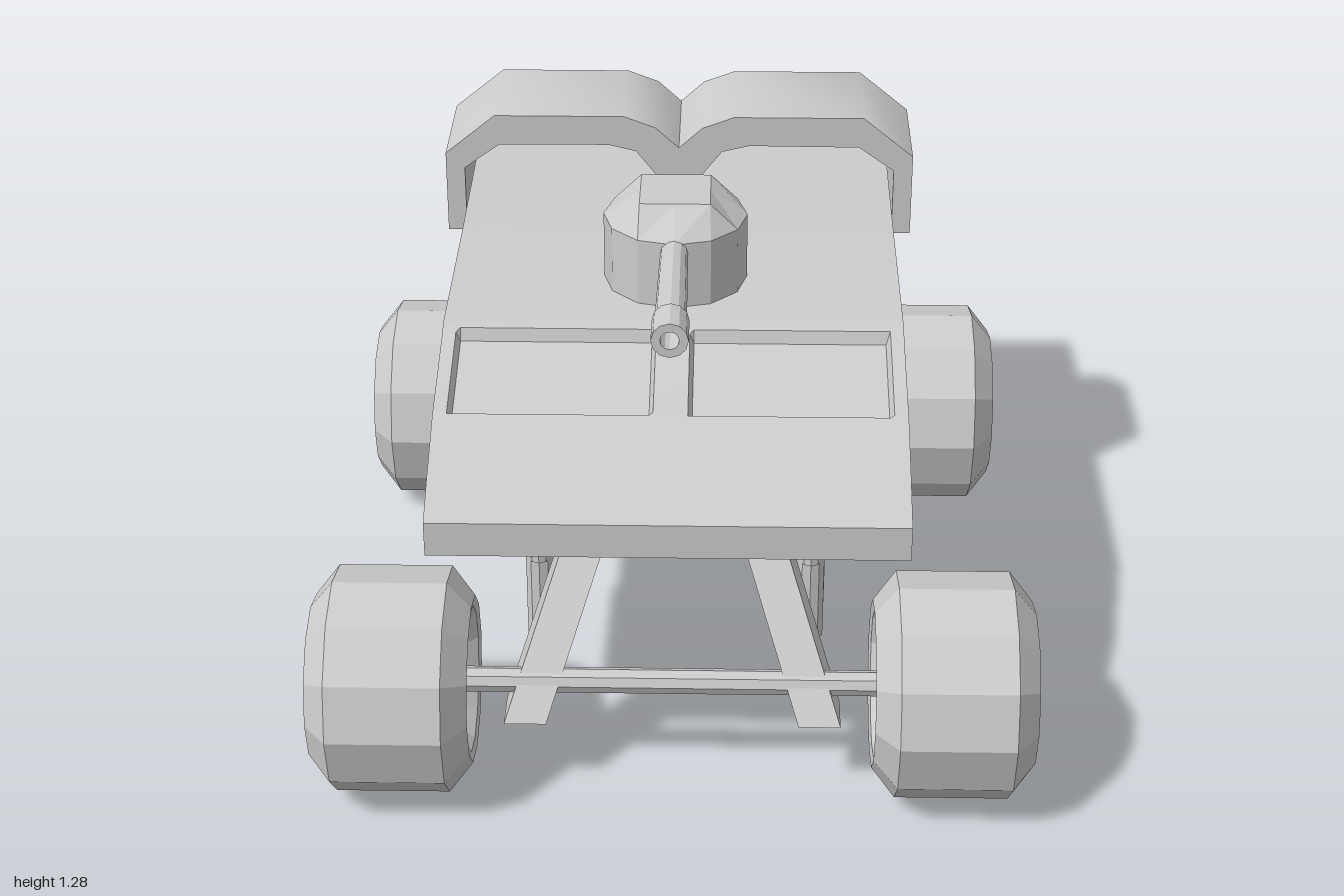
import * as THREE from 'three';
import { toCreasedNormals } from 'three/addons/utils/BufferGeometryUtils.js';

const smooth = new THREE.MeshStandardMaterial({ color: 0xcccccc, side: THREE.DoubleSide });
const flat = new THREE.MeshStandardMaterial({ color: 0xcccccc, flatShading: true });

function add(parent, name, geometry, material = flat, x = 0, y = 0, z = 0) {
  const mesh = new THREE.Mesh(geometry, material);
  mesh.name = name;
  mesh.position.set(x, y, z);
  parent.add(mesh);
  return mesh;
}

// Hull skin lofted along x; each section is the side profile [z, y, dips]
function hullGeometry() {
  const profile = [
    [0.915, 0.82], [0.8, 0.88], [0.66, 0.943], [0.645, 0.95], [0.635, 0.952, 1], [0.375, 1.02, 1],
    [0.365, 1.026], [0.34, 1.032], [-0.2, 1.035], [-0.6, 1.048], [-0.97, 1.03], [-1, 0.98], [-1, 0.79],
    [-0.46, 0.71], [-0.17, 0.615], [0.24, 0.605], [0.33, 0.7], [0.77, 0.7], [0.915, 0.735],
  ];
  // [x, depth of the sunken front panels]
  const sections = [[-0.547, 0], [-0.515, 0], [-0.505, 1], [-0.05, 1], [-0.04, 0],
    [0.04, 0], [0.05, 1], [0.505, 1], [0.515, 0], [0.547, 0]];
  const n = profile.length, position = [], index = [];
  for (const [x, depth] of sections)
    for (const [z, y, dip = 0] of profile) position.push(x, y - 0.025 * dip * depth, z);
  for (let s = 0; s < sections.length - 1; s++)
    for (let i = 0; i < n; i++) {
      const a = s * n + i, b = s * n + (i + 1) % n, c = b + n, d = a + n;
      index.push(a, d, c, a, c, b);
    }
  const last = (sections.length - 1) * n;
  const contour = profile.map(([z, y]) => new THREE.Vector2(z, y));
  for (const [a, b, c] of THREE.ShapeUtils.triangulateShape(contour, []))
    index.push(a, b, c, last + a, last + c, last + b);
  const g = new THREE.BufferGeometry();
  g.setAttribute('position', new THREE.Float32BufferAttribute(position, 3));
  g.setIndex(index);
  return toCreasedNormals(g, 0.4);
}

const shapeOf = (pts) => new THREE.Shape(pts.map(([a, b]) => new THREE.Vector2(a, b)));

// Plate with a side outline in (z, y), centred on x = 0
function plate(pts, width) {
  const g = new THREE.ExtrudeGeometry(shapeOf(pts), { depth: width, bevelEnabled: false });
  return g.translate(0, 0, -width / 2).rotateY(-Math.PI / 2);
}

// Sheared box running from a to b, with its ends square to the given axis
function beam(a, b, w, d, axis) {
  const g = axis === 'y' ? new THREE.BoxGeometry(w, 1, d) : new THREE.BoxGeometry(w, d, 1);
  const p = g.attributes.position, from = new THREE.Vector3(...a), to = new THREE.Vector3(...b);
  for (let i = 0; i < p.count; i++) {
    const v = new THREE.Vector3().fromBufferAttribute(p, i);
    const t = v[axis] + 0.5;
    v[axis] = 0;
    v.add(from.clone().lerp(to, t));
    p.setXYZ(i, v.x, v.y, v.z);
  }
  g.computeVertexNormals();
  return g;
}

const rodX = (r, length, sides) => new THREE.CylinderGeometry(r, r, length, sides).rotateZ(Math.PI / 2);

// Twelve-sided tyre with sunken hubs on both faces
function wheelGeometry() {
  const half = [[0.27, 0.135], [0.2, 0.19], [0.175, 0.185], [0.145, 0.15], [0, 0.15]];
  const pts = [...half.map(([r, x]) => [r, -x]).reverse(), ...half];
  return new THREE.LatheGeometry(pts.map(([r, x]) => new THREE.Vector2(r, x)), 12).rotateZ(-Math.PI / 2);
}

function buildTurret(parent) {
  const turret = new THREE.Group();
  turret.name = 'turret';
  turret.position.set(0, 1.03, 0.09);
  parent.add(turret);
  add(turret, 'turretBase', new THREE.CylinderGeometry(0.175, 0.175, 0.18, 12), flat, 0, 0.08, 0);
  // Roof slopes from the round wall to a small square
  const roof = new THREE.CylinderGeometry(0.2, 0.175, 0.065, 12);
  const p = roof.attributes.position;
  for (let i = 0; i < p.count; i++)
    if (p.getY(i) > 0)
      p.setXYZ(i, THREE.MathUtils.clamp(p.getX(i), -0.085, 0.085), p.getY(i), THREE.MathUtils.clamp(p.getZ(i), -0.085, 0.085));
  add(turret, 'turretRoof', roof, flat, 0, 0.2025, 0);
  const bore = [[0.032, 0], [0.037, 0.46], [0.043, 0.46], [0.043, 0.56], [0.022, 0.56], [0.022, 0.46], [0, 0.46]];
  const barrel = new THREE.LatheGeometry(bore.map(([r, y]) => new THREE.Vector2(r, y)), 12).rotateX(Math.PI / 2);
  add(turret, 'gunBarrel', barrel, flat, 0, 0.143, 0.05);
}

function buildArch(parent, s) {
  const outline = [[0.598, 0.965], [0.598, 1.18], [0.47, 1.285], [0.14, 1.285], [0.06, 1.255], [0, 1.2],
    [0, 1.02], [0.045, 1.02], [0.055, 1.12], [0.11, 1.19], [0.18, 1.207], [0.46, 1.205], [0.55, 1.14], [0.55, 0.965]];
  const g = new THREE.ExtrudeGeometry(shapeOf(outline.map(([x, y]) => [s * x, y])), { depth: 0.308, bevelEnabled: false });
  add(parent, 'rearArch', toCreasedNormals(g, 0.8), smooth, 0, 0, -0.61);
}

function buildSuspension(parent, s) {
  const side = new THREE.Group();
  side.name = s > 0 ? 'leftSuspension' : 'rightSuspension';
  parent.add(side);
  // Front: slanted leg, stepped link with pivot pin, upright damper
  add(side, 'frontLeg', beam([s * 0.35, 0.2, 0.76], [s * 0.145, 0.73, 0.36], 0.1, 0.11, 'y'));
  const link = [[0.03, 0.545], [0.27, 0.52], [0.33, 0.44], [0.44, 0.47], [0.46, 0.4], [0.44, 0.275], [0.075, 0.285], [0.07, 0.4], [0.03, 0.4]];
  add(side, 'frontLink', plate(link, 0.09), flat, s * 0.32);
  add(side, 'frontLinkPin', rodX(0.045, 0.13, 12), flat, s * 0.32, 0.47, 0.155);
  add(side, 'damper', new THREE.CylinderGeometry(0.035, 0.035, 0.24, 10), flat, s * 0.33, 0.36, 0.47);
  add(side, 'damperCap', new THREE.CylinderGeometry(0.024, 0.024, 0.06, 8), flat, s * 0.33, 0.49, 0.49);
  // Rear: hanger, pivot housing and trailing arm
  add(side, 'rearHanger', beam([s * 0.34, 0.42, -0.18], [s * 0.31, 0.7, -0.29], 0.09, 0.15, 'y'));
  const housing = [[0, 0.55], [-0.04, 0.57], [-0.11, 0.57], [-0.2, 0.52], [-0.2, 0.39], [-0.06, 0.4], [0, 0.42]];
  add(side, 'rearPivotHousing', plate(housing, 0.09), flat, s * 0.32);
  add(side, 'rearPivot', rodX(0.078, 0.1, 14), flat, s * 0.355, 0.457, -0.2);
  add(side, 'trailingArm', beam([s * 0.44, 0.23, -0.7], [s * 0.34, 0.45, -0.2], 0.11, 0.16, 'z'));
}

export function createModel() {
  const model = new THREE.Group();
  model.name = 'roverVehicle';

  const body = new THREE.Group();
  body.name = 'body';
  body.position.x = -0.012;
  model.add(body);
  add(body, 'hull', hullGeometry(), smooth);
  buildTurret(body);

  const chassis = new THREE.Group();
  chassis.name = 'chassis';
  chassis.position.x = -0.005;
  model.add(chassis);
  for (const s of [-1, 1]) {
    buildArch(body, s);
    buildSuspension(chassis, s);
    add(chassis, 'frontWheel', wheelGeometry(), flat, s * 0.665, 0.27, 0.73);
    add(chassis, 'rearWheel', wheelGeometry(), flat, s * 0.665, 0.27, -0.66);
  }
  add(chassis, 'frontAxle', rodX(0.031, 1.05, 8), flat, 0, 0.27, 0.73);
  add(chassis, 'rearCrossRod', rodX(0.028, 0.66, 8), flat, 0, 0.405, -0.2);
  return model;
}
